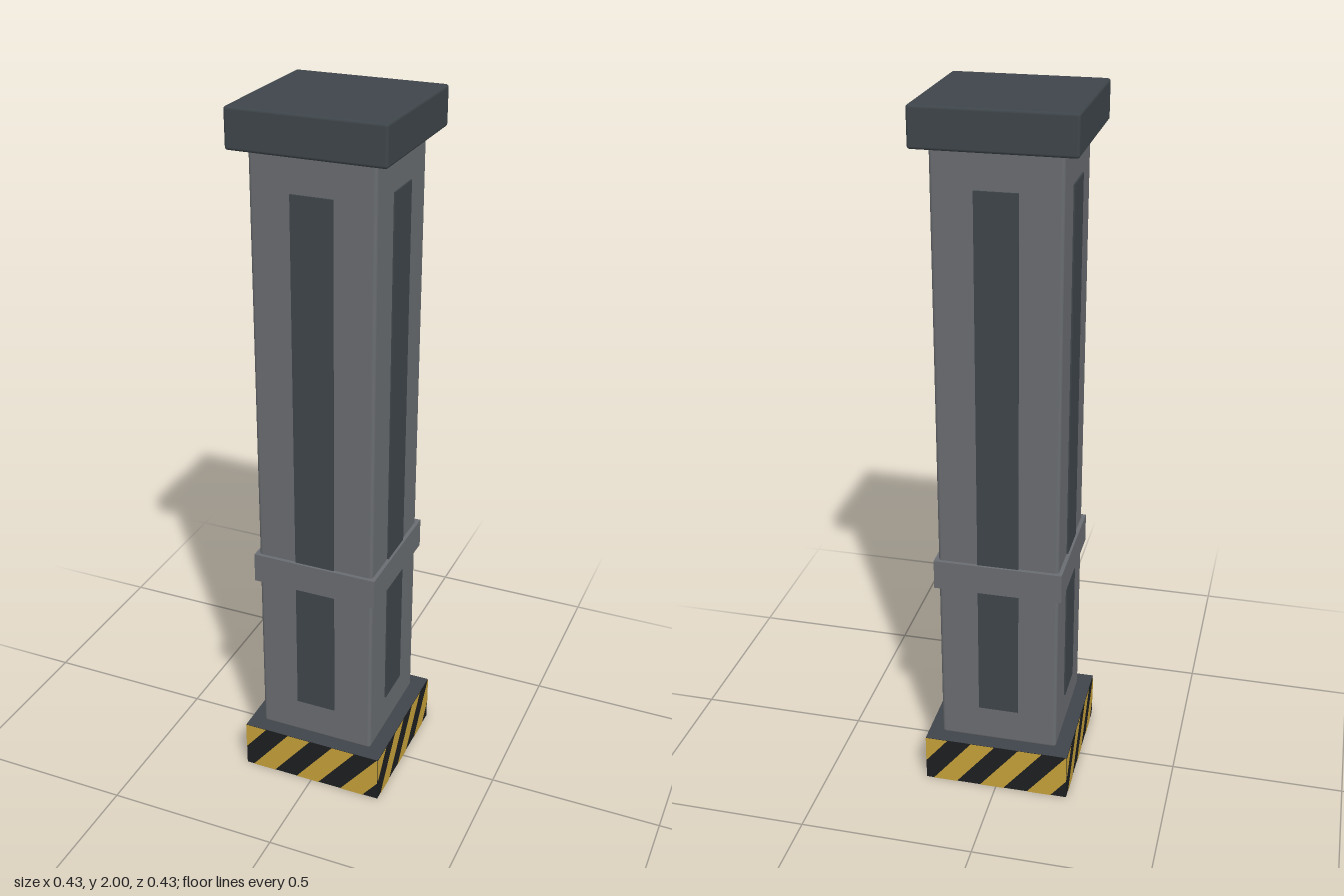
import * as THREE from 'three';
import { RoundedBoxGeometry } from 'three/addons/geometries/RoundedBoxGeometry.js';

const mat = (name, color) => {
  const m = new THREE.MeshStandardMaterial({ color });
  m.name = name;
  return m;
};

// Keeps the part of a polygon where sign * x <= limit
function clipX(points, sign, limit) {
  const out = [];
  points.forEach((p, i) => {
    const q = points[(i + 1) % points.length];
    const dp = limit - sign * p.x, dq = limit - sign * q.x;
    if (dp >= 0) out.push(p);
    if (dp * dq < 0) out.push(p.clone().lerp(q, dp / (dp - dq)));
  });
  return out;
}

export function createModel() {
  const grey = mat('column grey', 0x696c70);
  const slate = mat('dark slate', 0x3e454a);
  const black = mat('hazard black', 0x1c1e20);
  const yellow = mat('hazard yellow', 0xc49f39);

  const model = new THREE.Group();
  model.name = 'pillar';

  const add = (parent, name, geometry, material, x = 0, y = 0, z = 0) => {
    const mesh = new THREE.Mesh(geometry, material);
    mesh.name = name;
    mesh.position.set(x, y, z);
    parent.add(mesh);
    return mesh;
  };

  // Base block: black sides, slate top and underside
  const half = 0.212, baseH = 0.142;
  add(model, 'base', new THREE.BoxGeometry(half * 2, baseH, half * 2),
    [black, black, slate, slate, black, black], 0, baseH / 2, 0);

  // Column, collar band and cap
  add(model, 'column', new RoundedBoxGeometry(0.342, 1.76, 0.342, 2, 0.01), grey, 0, 1.02, 0);
  add(model, 'collar', new THREE.BoxGeometry(0.364, 0.086, 0.364), grey, 0, 0.688, 0);
  add(model, 'cap', new RoundedBoxGeometry(0.426, 0.108, 0.426, 2, 0.008), slate, 0, 1.946, 0);

  // Slanted stripes for one side of the base, clipped to its width
  const period = 0.142, width = 0.071, slant = 0.115;
  const stripes = [];
  for (let i = -1; i < 3; i++) {
    const x = -0.19 + i * period;
    let pts = [[x, 0], [x + width, 0], [x + width + slant, baseH], [x + slant, baseH]]
      .map(([px, py]) => new THREE.Vector2(px, py));
    pts = clipX(clipX(pts, 1, half), -1, half);
    if (pts.length > 2) stripes.push(new THREE.Shape(pts));
  }
  const stripeGeometry = new THREE.ShapeGeometry(stripes);
  const panelGeometry = new THREE.BoxGeometry(0.116, 1.54, 0.008);

  // Long panel and hazard stripes on each of the four sides
  ['front', 'left', 'back', 'right'].forEach((name, i) => {
    const side = new THREE.Group();
    side.name = name + 'Side';
    side.rotation.y = i * Math.PI / 2;
    add(side, 'panel', panelGeometry, slate, 0, 1.02, 0.171);
    add(side, 'hazardStripes', stripeGeometry, yellow, 0, 0, half + 0.0012);
    model.add(side);
  });

  return model;
}
